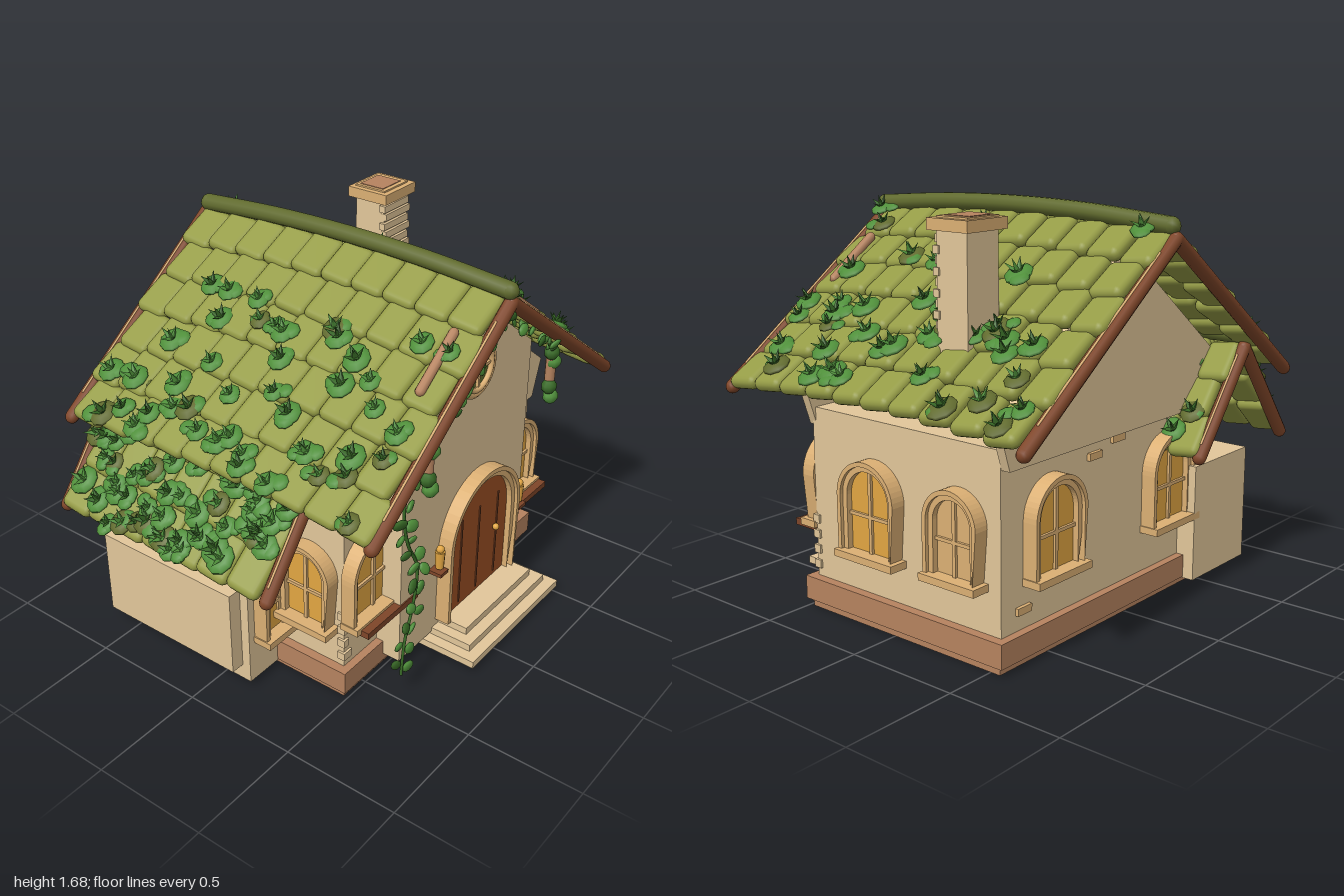
import * as THREE from 'three';
import { mergeGeometries } from 'three/addons/utils/BufferGeometryUtils.js';
import { RoundedBoxGeometry } from 'three/addons/geometries/RoundedBoxGeometry.js';

const mat = (name, color) => Object.assign(new THREE.MeshStandardMaterial({ color }), { name });

export function createModel() {
  const root = new THREE.Group();
  root.name = 'cottage';
  const wall = mat('plaster', 0xe2c79a), plinth = mat('brownStone', 0xb6835f), trim = mat('trim', 0xdcb074);
  const glass = mat('amberGlass', 0xe2a642), doorMat = mat('door', 0x9c4f24), timber = mat('timber', 0x7f4629);
  const tileMat = mat('mossTile', 0x959c46), darkMoss = mat('darkMoss', 0x616b2e);
  const leaf = mat('leaf', 0x4f8f3a), darkLeaf = mat('darkLeaf', 0x386a26);
  let seed = 7;
  const rnd = (a = 0, b = 1) => { seed = (seed * 16807) % 2147483647; return a + (b - a) * seed / 2147483647; };

  const group = (name, parent = root) => { const g = new THREE.Group(); g.name = name; parent.add(g); return g; };
  const add = (parent, name, geo, m, x = 0, y = 0, z = 0) => {
    const o = new THREE.Mesh(geo, m);
    o.name = name; o.position.set(x, y, z); parent.add(o); return o;
  };
  // box given by its min and max corners
  const block = (parent, name, m, x0, x1, y0, y1, z0, z1) =>
    add(parent, name, new THREE.BoxGeometry(x1 - x0, y1 - y0, z1 - z0), m, (x0 + x1) / 2, (y0 + y1) / 2, (z0 + z1) / 2);
  // rounded rod between two points
  const rod = (parent, name, m, a, b, r) => {
    const A = new THREE.Vector3(...a), B = new THREE.Vector3(...b), d = B.clone().sub(A);
    const o = add(parent, name, new THREE.CapsuleGeometry(r, d.length(), 4, 10), m);
    o.position.copy(A).add(B).multiplyScalar(0.5);
    o.quaternion.setFromUnitVectors(new THREE.Vector3(0, 1, 0), d.normalize());
    return o;
  };
  const extrude = (shape, depth) => new THREE.ExtrudeGeometry(shape, { depth, bevelEnabled: false, curveSegments: 12 });
  const polygon = pts => new THREE.Shape(pts.map(p => new THREE.Vector2(...p)));

  // walls, open under the roof between the two gable plates
  const body = group('walls');
  block(body, 'plinth', plinth, -0.62, 0.78, 0, 0.1, -0.545, 0.48);
  block(body, 'plinthTop', plinth, -0.64, 0.8, 0.035, 0.135, -0.57, 0.5);
  block(body, 'mainWalls', wall, -0.6, 0.76, 0.13, 0.855, -0.535, 0.465);
  const gable = extrude(polygon([[-0.6, 0.78], [0.755, 0.78], [0.81, 0.95], [0.075, 1.52], [-0.66, 0.95]]), 0.04);
  for (const z of [-0.575, 0.447]) add(body, 'upperGable', gable, wall, 0, 0, z);
  add(body, 'porchWall', extrude(polygon([[-0.38, 0.07], [0.535, 0.07], [0.535, 1.18], [0.075, 1.53], [-0.38, 1.18]]), 0.14), wall, 0, 0, 0.44);
  // annex on the left side
  block(body, 'annex', wall, -0.81, -0.4, 0.03, 0.54, -0.62, 0.15);
  block(body, 'annexPanel', wall, -0.87, -0.6, 0.1, 0.48, -0.58, 0.11);
  // corner stones and loose bricks
  for (let i = 0; i < 4; i++) {
    const y = 0.17 + i * 0.065, w = i % 2 ? 0.03 : 0.05;
    block(body, 'cornerStone', wall, 0.77 - w, 0.77, y, y + 0.035, 0.44, 0.475);
    block(body, 'cornerStone', wall, 0.53, 0.53 + w / 2, y, y + 0.035, 0.45, 0.485);
    block(body, 'cornerStone', wall, -0.61, -0.61 + w, y, y + 0.035, 0.44, 0.475);
  }
  for (const [x, y] of [[0.17, 0.7], [0.02, 0.74], [0.6, 0.2]])
    block(body, 'brick', trim, x, x + 0.08, y, y + 0.03, -0.55, -0.53);

  // arched openings, built facing +z with the origin at the bottom centre
  const archShape = (w, h) => {
    const s = new THREE.Shape();
    s.moveTo(-w / 2, 0); s.lineTo(w / 2, 0); s.absarc(0, h - w / 2, w / 2, 0, Math.PI, false);
    return s;
  };
  const archBand = (w, h, b) => {
    const s = new THREE.Shape(), k = h - w / 2;
    s.moveTo(w / 2, 0); s.absarc(0, k, w / 2, 0, Math.PI, false);
    s.lineTo(-w / 2, 0); s.lineTo(b - w / 2, 0);
    s.absarc(0, k, w / 2 - b, Math.PI, 0, true); s.lineTo(w / 2 - b, 0);
    return s;
  };
  const opening = (name, x, y, z, ry, w, h, b, fill) => {
    const g = group(name);
    g.position.set(x, y, z); g.rotation.y = ry;
    add(g, 'frame', extrude(archBand(w, h, b), 0.05), trim);
    add(g, 'frameRim', extrude(archBand(w, h, b * 0.45), 0.065), trim);
    add(g, 'pane', extrude(archShape(w - 2 * b, h - b), 0.025), fill);
    return g;
  };
  const windowAt = (name, x, y, z, ry, w, h, fill = glass) => {
    const g = opening(name, x, y, z, ry, w, h, 0.042, fill);
    block(g, 'mullion', trim, -0.008, 0.008, 0, h - 0.04, 0.02, 0.036);
    block(g, 'crossBar', trim, 0.04 - w / 2, w / 2 - 0.04, h * 0.4, h * 0.4 + 0.014, 0.02, 0.036);
    block(g, 'sill', trim, -w / 2 - 0.005, w / 2 + 0.005, -0.015, 0.015, 0, 0.085);
  };
  const q = Math.PI / 2;
  windowAt('rightWindowFront', 0.76, 0.305, 0.11, q, 0.31, 0.395);
  windowAt('rightWindowBack', 0.76, 0.32, -0.335, q, 0.27, 0.36, trim);
  windowAt('leftWindow', -0.6, 0.31, 0.3, -q, 0.27, 0.37);
  windowAt('frontWindowLeft', 0.6, 0.355, 0.465, 0, 0.34, 0.375);
  windowAt('frontWindowRight', -0.45, 0.355, 0.465, 0, 0.34, 0.375);
  windowAt('backWindowLeft', 0.48, 0.32, -0.535, Math.PI, 0.31, 0.39);
  windowAt('backWindowRight', -0.28, 0.32, -0.535, Math.PI, 0.31, 0.39);
  windowAt('annexWindow', -0.635, 0.23, 0.15, 0, 0.28, 0.35);
  for (const x of [-0.43, 0.6]) block(root, 'windowShelf', timber, x - 0.17, x + 0.17, 0.33, 0.358, 0.47, 0.585);

  // door and steps
  const door = opening('frontDoor', 0.155, 0.12, 0.58, 0, 0.54, 0.62, 0.045, doorMat);
  for (const x of [-0.135, 0, 0.145]) block(door, 'plankGap', timber, x - 0.004, x + 0.004, 0.02, 0.44, 0.025, 0.029);
  add(door, 'knob', new THREE.SphereGeometry(0.015, 12, 8), glass, 0.12, 0.275, 0.04);
  for (let i = 0; i < 3; i++)
    block(root, 'step', wall, -0.19 + i * 0.05, 0.51 - i * 0.04, 0.025 + i * 0.032, 0.057 + i * 0.032, 0.5, 0.82 - i * 0.05);

  // lanterns
  for (const x of [-0.155, 0.465]) {
    const g = group('lantern');
    g.position.set(x, 0.41, 0.615);
    block(g, 'bracket', timber, -0.027, 0.027, -0.01, 0.006, -0.04, 0.025);
    add(g, 'lamp', new THREE.CylinderGeometry(0.022, 0.018, 0.08, 8), glass, 0, 0.06, 0);
    add(g, 'cap', new THREE.SphereGeometry(0.018, 8, 6), glass, 0, 0.11, 0);
  }

  // round gable window
  const round = group('roundWindow');
  round.position.set(0.075, 1.245, 0.58);
  add(round, 'ring', new THREE.TorusGeometry(0.108, 0.022, 10, 32), trim, 0, 0, 0.015);
  add(round, 'innerRing', new THREE.TorusGeometry(0.09, 0.012, 8, 32), trim, 0, 0, 0.03);
  add(round, 'pane', new THREE.CylinderGeometry(0.1, 0.1, 0.02, 32).rotateX(q), darkMoss, 0, 0, 0.01);
  block(round, 'mullion', trim, -0.006, 0.006, -0.09, 0.09, 0.02, 0.032);
  block(round, 'crossBar', trim, -0.09, 0.09, -0.006, 0.006, 0.02, 0.032);

  // roof planes: t runs from top to eave, h is height above the plane
  const rise = z => 0.04 * (1 - ((z + 0.035) / 0.78) ** 2);
  const plane = (x, y, dx, dy, bulge) => {
    const len = Math.hypot(dx, dy), s = Math.sign(dx);
    return {
      len, s, angle: -s * Math.atan2(-dy, Math.abs(dx)),
      at: (t, z, h = 0) => [x + dx * t - s * dy / len * h, y + dy * t + Math.abs(dx) / len * h + bulge * rise(z), z],
    };
  };
  const right = plane(0.075, 1.56, 0.885, -0.64, 1), left = plane(0.075, 1.56, -0.875, -0.64, 1);
  const annexOuter = plane(-0.59, 1.04, -0.345, -0.44, 0), annexInner = plane(-0.59, 1.04, 0.33, -0.42, 0);
  // puffy overlapping tiles, each tipped a little over its neighbour
  const roofSide = (name, p, rows, z0, z1) => {
    const g = group(name), n = Math.round((z1 - z0) / 0.15), step = (z1 - z0) / n, pitch = p.len / rows;
    const tile = new RoundedBoxGeometry(pitch * 1.1, 0.06, step * 1.02, 2, 0.029);
    for (let r = 0; r < rows; r++) for (let i = 0; i < n; i++) {
      const z = z0 + (i + 0.5) * step + (r % 2 ? 0.015 : -0.015);
      const t = add(g, 'tile', tile, tileMat, ...p.at((r + 0.5) / rows * 0.985, z, rnd(0.002, 0.01)));
      t.rotation.set(0.11, 0, p.angle + p.s * 0.13);
    }
  };
  roofSide('roofRight', right, 6, -0.785, 0.715);
  roofSide('roofLeft', left, 6, -0.785, 0.715);
  roofSide('annexRoofOuter', annexOuter, 3, -0.7, 0.34);
  roofSide('annexRoofInner', annexInner, 3, -0.7, 0.34);
  const ridgePts = [-0.78, -0.4, -0.03, 0.35, 0.72].map(z => new THREE.Vector3(0.075, 1.605 + rise(z), z));
  add(root, 'ridge', new THREE.TubeGeometry(new THREE.CatmullRomCurve3(ridgePts), 16, 0.036, 10), darkMoss);
  for (const v of [ridgePts[0], ridgePts[4]]) add(root, 'ridgeEnd', new THREE.SphereGeometry(0.036, 10, 8), darkMoss, ...v.toArray());
  rod(root, 'annexRidge', darkMoss, [-0.6, 1.085, -0.68], [-0.6, 1.085, 0.28], 0.034);

  // log barge boards along the roof edges
  const edge = (p, z, end) => {
    rod(root, 'bargeLog', timber, p.at(0, z), p.at(end, z), 0.029);
    rod(root, 'bargeHighlight', trim, p.at(0.1, z, 0.028), p.at(end - 0.1, z, 0.028), 0.005);
  };
  for (const z of [0.728, -0.8]) for (const p of [right, left]) edge(p, z, 0.985);
  for (const z of [0.355, -0.718]) for (const p of [annexOuter, annexInner]) edge(p, z, 0.98);

  // chimney
  const chimney = group('chimney');
  block(chimney, 'shaft', wall, 0.535, 0.705, 1.08, 1.61, -0.335, -0.185);
  block(chimney, 'cap', trim, 0.505, 0.725, 1.605, 1.65, -0.355, -0.155);
  block(chimney, 'flueRim', trim, 0.53, 0.7, 1.64, 1.657, -0.335, -0.18);
  block(chimney, 'flue', plinth, 0.545, 0.675, 1.65, 1.66, -0.32, -0.2);
  for (let i = 0; i < 9; i++) {
    const o = (i % 2) * 0.012, y = 1.24 + i * 0.04;
    block(chimney, 'course', wall, 0.522 + o, 0.7 + o, y, y + 0.03, -0.2, -0.172);
  }

  // rooftop plants: round pads with a tuft of pointed blades
  const pad = new THREE.SphereGeometry(1, 9, 5);
  const blades = mergeGeometries([0, 1, 2, 3, 4].map(i =>
    new THREE.ConeGeometry(0.3, 1.05, 5).scale(1, 1, 0.4).translate(0, 0.5, 0).rotateX(i ? 0.8 : 0.1).rotateY(i * 1.571)));
  const plants = group('roofPlants');
  const plant = (p, t, z, size) => {
    const g = group('plant', plants);
    g.position.set(...p.at(t, z, 0.045));
    g.rotation.set(0, 0, p.angle * 0.75);
    add(g, 'pad', pad, rnd() < 0.2 ? darkMoss : leaf).scale.set(size, size * 0.3, size * 0.9);
    add(g, 'pad', pad, leaf, rnd(-0.03, 0.03), 0, rnd(-0.05, 0.05)).scale.set(size * 0.7, size * 0.25, size * 0.7);
    const b = add(g, 'blades', blades, rnd() < 0.6 ? leaf : darkLeaf, 0, 0.005, 0);
    b.scale.setScalar(size); b.rotation.y = rnd(0, 6);
  };
  const scatter = (p, n, t0, t1, z0, z1) => {
    for (let i = 0; i < n; i++) plant(p, rnd(t0, t1), z0 + (z1 - z0) * (i + rnd()) / n, rnd(0.045, 0.066));
  };
  scatter(right, 24, 0.55, 0.98, -0.75, 0.65);
  scatter(right, 14, 0.3, 0.65, -0.6, 0.65);
  scatter(left, 20, 0.25, 0.65, -0.55, 0.68);
  scatter(left, 24, 0.7, 0.97, -0.72, 0.68);
  scatter(annexOuter, 48, 0.3, 0.98, -0.68, 0.32);
  scatter(annexInner, 12, 0.25, 0.9, -0.68, 0.3);
  for (const [t, z] of [[0.02, 0.7], [0.02, -0.68], [0.12, 0.6], [0.1, 0.04], [0.14, 0.2]]) plant(right, t, z, 0.055);

  // fallen branches on the slopes
  for (const p of [right, left]) rod(root, 'branch', plinth, p.at(0.2, 0.61, 0.045), p.at(0.44, 0.61, 0.045), 0.02);
  rod(root, 'branch', plinth, annexInner.at(0.25, -0.52, 0.045), annexInner.at(0.65, -0.52, 0.045), 0.018);

  // leaves hanging below the front gable
  const oneLeaf = (parent, x, y, z, s, m = leaf) => {
    const o = add(parent, 'leaf', pad, m, x, y, z);
    o.scale.set(s, s * 0.75, s * 0.35); o.rotation.set(rnd(-0.5, 0.5), rnd(-0.5, 0.5), rnd(0, 3));
  };
  const garland = group('gableLeaves');
  for (const s of [-1, 1]) for (let i = 0; i < 16; i++) {
    const d = i * 0.028;
    oneLeaf(garland, 0.075 + s * d, 1.515 - d * 0.727 - rnd(0, 0.03), rnd(0.69, 0.74), rnd(0.02, 0.032), i % 3 ? leaf : darkLeaf);
  }
  for (const x of [-0.37, 0.53]) {
    rod(garland, 'hangingStem', plinth, [x, 1.17, 0.68], [x, 0.98, 0.68], 0.022);
    [1.16, 1.11, 1.0, 0.945].forEach((y, i) =>
      add(garland, 'leafBall', pad, i % 2 ? leaf : darkLeaf, x + (i % 2 ? 0.012 : -0.008), y, 0.685).scale.set(0.038, 0.033, 0.033));
  }

  // climbing vine beside the door
  const vine = group('vine');
  const path = new THREE.CatmullRomCurve3([[-0.44, 1.08], [-0.49, 0.9], [-0.46, 0.74], [-0.39, 0.59], [-0.41, 0.42], [-0.46, 0.27], [-0.48, 0.11]]
    .map(([x, y]) => new THREE.Vector3(x, y, 0.66)));
  add(vine, 'stem', new THREE.TubeGeometry(path, 40, 0.007, 6), darkLeaf);
  for (let i = 0; i < 22; i++) {
    const v = path.getPoint((i + 0.5) / 22);
    oneLeaf(vine, v.x + (i % 2 ? 0.035 : -0.035), v.y, v.z + rnd(-0.01, 0.015), rnd(0.027, 0.037), i % 4 ? leaf : darkLeaf);
  }
  return root;
}
